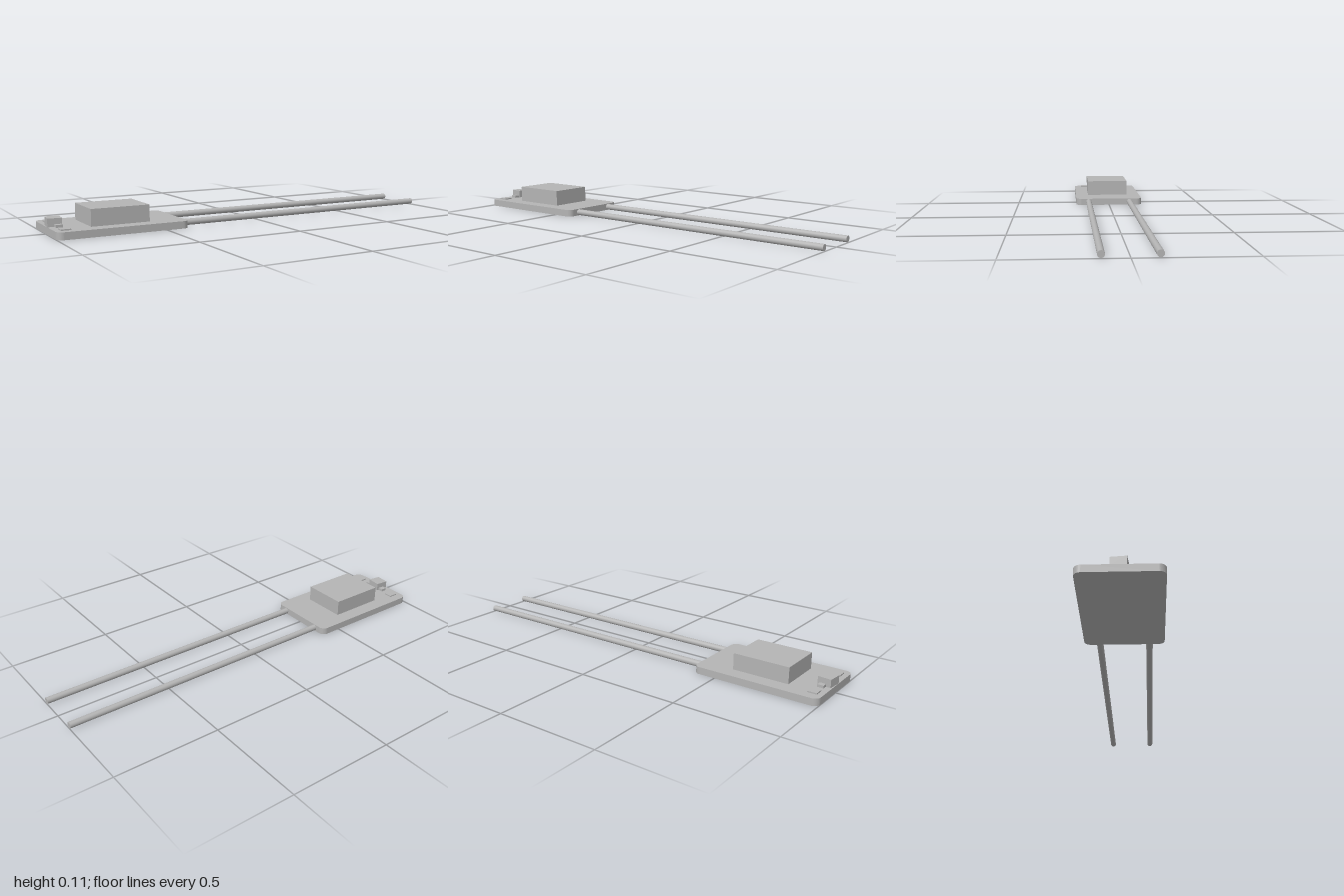
import * as THREE from 'three';

export function createModel() {
  const model = new THREE.Group();
  const grey = new THREE.MeshStandardMaterial({ color: 0xb4b4b4 });
  grey.name = 'plain grey';

  const add = (name, geometry, x, y, z) => {
    const mesh = new THREE.Mesh(geometry, grey);
    mesh.name = name;
    mesh.position.set(x, y, z);
    model.add(mesh);
    return mesh;
  };
  // Box given by its size, resting on height y
  const block = (name, w, h, d, x, y, z) =>
    add(name, new THREE.BoxGeometry(w, h, d), x, y + h / 2, z);

  // Circuit board with rounded corners
  const top = 0.034, w = 0.305, d = 0.18, r = 0.03;
  const outline = new THREE.Shape();
  outline.absarc(w - r, d - r, r, 0, Math.PI / 2);
  outline.absarc(-w + r, d - r, r, Math.PI / 2, Math.PI);
  outline.absarc(-w + r, -d + r, r, Math.PI, Math.PI * 1.5);
  outline.absarc(w - r, -d + r, r, Math.PI * 1.5, Math.PI * 2);
  outline.closePath();
  const board = new THREE.ExtrudeGeometry(outline, { depth: top, bevelEnabled: false, curveSegments: 8 });
  board.rotateX(-Math.PI / 2);
  add('board', board, -0.695, 0, 0);

  // Main component
  block('mainBlock', 0.275, 0.078, 0.22, -0.693, top, 0);

  // Small component at the board's end, set slightly askew
  const chip = block('smallChip', 0.064, 0.038, 0.068, -0.964, top, -0.002);
  chip.rotation.y = -0.1;

  // Chip feet and solder pads on both sides
  for (const side of [1, -1]) {
    block('chipFoot', 0.03, 0.012, 0.03, -0.955, top, side * 0.045);
    block('solderPad', 0.045, 0.006, 0.042, -0.952, top, side * 0.118 + 0.004);
  }

  // Wire leads
  const wire = new THREE.CylinderGeometry(0.015, 0.015, 1.395, 24);
  wire.rotateZ(Math.PI / 2);
  for (const z of [0.112, -0.112]) add('wireLead', wire, 0.3025, 0.017, z);

  return model;
}
